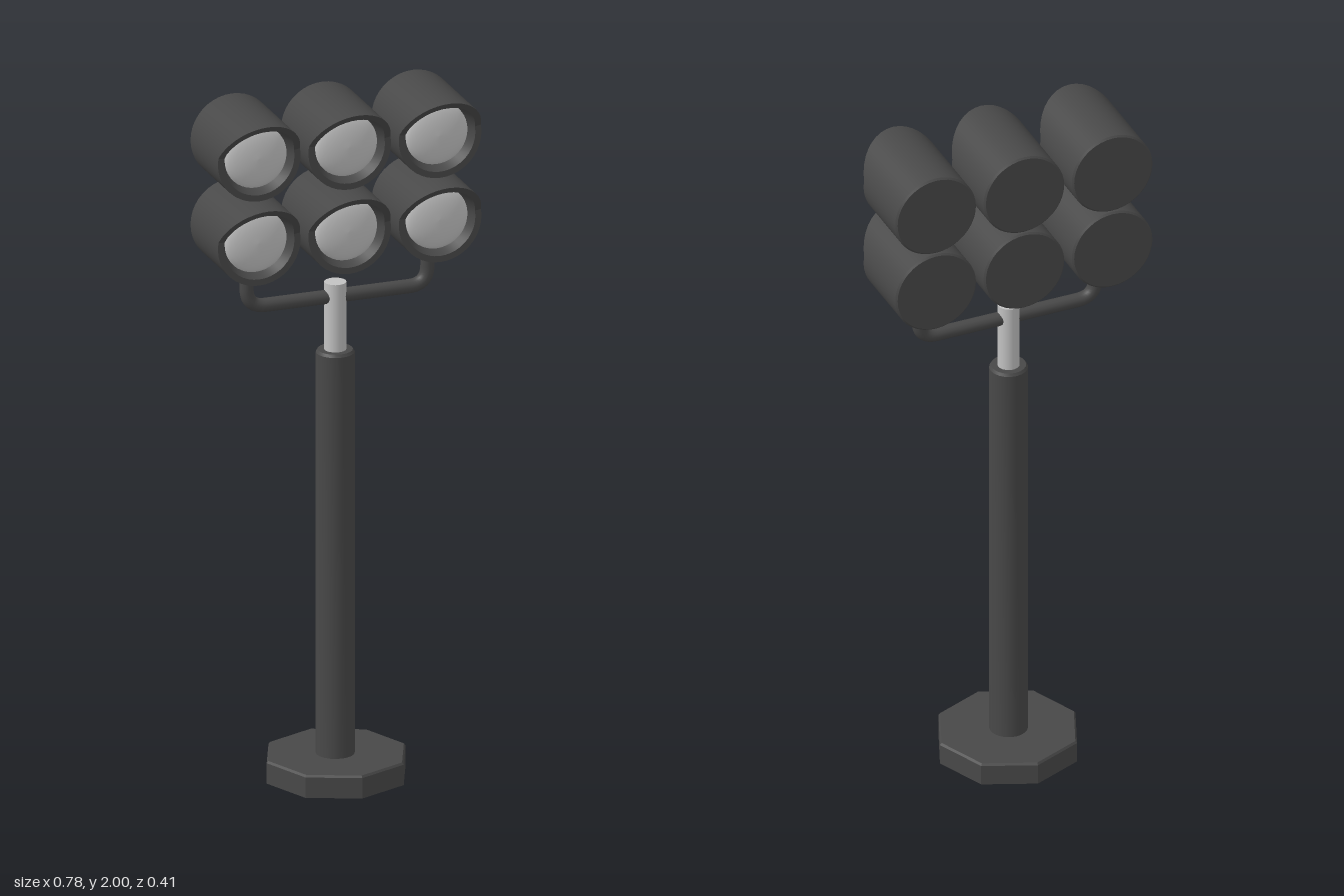
import * as THREE from 'three';
import { toCreasedNormals } from 'three/addons/utils/BufferGeometryUtils.js';

const darkMetal = new THREE.MeshStandardMaterial({ name: 'darkMetal', color: 0x484848 });
const paleSteel = new THREE.MeshStandardMaterial({ name: 'paleSteel', color: 0xc2c2c2 });
const lampGlass = new THREE.MeshStandardMaterial({ name: 'lampGlass', color: 0xc6c6c6 });

const SPACING = 0.267;
const TUBE_R = 0.02;
const MAST_X = -0.005;

function addMesh(parent, name, geometry, material, x = 0, y = 0, z = 0) {
  const mesh = new THREE.Mesh(geometry, material);
  mesh.name = name;
  mesh.position.set(x, y, z);
  parent.add(mesh);
  return mesh;
}

// Turned shape about the y axis, with sharp edges kept
function turned(points, segments) {
  const profile = points.map(([r, y]) => new THREE.Vector2(r, y));
  return new THREE.LatheGeometry(profile, segments);
}

// Lamp housing facing +z; the upper part of the rim is pulled forward as a visor
function housingGeometry() {
  const geo = turned([
    [0, -0.12], [0.117, -0.12], [0.122, -0.115],
    [0.122, 0.1], [0.104, 0.1], [0.091, 0.07],
  ], 40);
  geo.rotateX(Math.PI / 2);
  const p = geo.attributes.position;
  for (let i = 0; i < p.count; i++) {
    if (p.getZ(i) > 0.09) p.setZ(i, 0.1 + Math.max(0, p.getY(i) - 0.02) * 0.74);
  }
  return toCreasedNormals(geo, 0.5);
}

// Shallow domed lens facing +z
function lensGeometry() {
  const points = [];
  for (let i = 0; i <= 6; i++) {
    const a = (i / 6) * Math.PI / 2;
    points.push([0.092 * Math.cos(a), 0.07 + 0.025 * Math.sin(a)]);
  }
  return turned(points, 40).rotateX(Math.PI / 2);
}

// U-shaped fork with rounded corners
function forkGeometry() {
  const v = (x, y) => new THREE.Vector3(x, y, 0);
  const x = SPACING, top = 1.54, low = 1.41, r = 0.055;
  const path = new THREE.CurvePath();
  path.add(new THREE.LineCurve3(v(-x, top), v(-x, low + r)));
  path.add(new THREE.QuadraticBezierCurve3(v(-x, low + r), v(-x, low), v(-x + r, low)));
  path.add(new THREE.LineCurve3(v(-x + r, low), v(x - r, low)));
  path.add(new THREE.QuadraticBezierCurve3(v(x - r, low), v(x, low), v(x, low + r)));
  path.add(new THREE.LineCurve3(v(x, low + r), v(x, top)));
  return new THREE.TubeGeometry(path, 80, TUBE_R, 12, false);
}

export function createModel() {
  const model = new THREE.Group();
  model.name = 'floodlightTower';

  // Eight-sided foot with a slim bevel
  const foot = turned([[0, 0], [0.205, 0], [0.205, 0.06], [0.2, 0.066], [0, 0.066]], 8);
  addMesh(model, 'foot', toCreasedNormals(foot, 0.3), darkMetal, MAST_X / 2);

  // Main pole with a softened top edge, and the pale mast above it
  const pole = turned([[0.054, 0.06], [0.054, 1.246], [0.049, 1.254], [0, 1.254]], 20);
  addMesh(model, 'pole', toCreasedNormals(pole, 0.5), darkMetal, MAST_X);
  addMesh(model, 'mast', new THREE.CylinderGeometry(0.031, 0.031, 0.21, 20), paleSteel, MAST_X, 1.347);

  // Fork carrying the lamps
  addMesh(model, 'fork', forkGeometry(), darkMetal);

  // Two rows of three lamps, each row tied by a crossbar
  const housing = housingGeometry();
  const lens = lensGeometry();
  const bar = new THREE.CylinderGeometry(TUBE_R, TUBE_R, SPACING * 2, 12).rotateZ(Math.PI / 2);
  for (const [row, y] of [['lower', 1.63], ['upper', 1.878]]) {
    addMesh(model, row + 'Crossbar', bar, darkMetal, 0, y - 0.02);
    for (const [side, i] of [['Right', -1], ['Middle', 0], ['Left', 1]]) {
      const lamp = new THREE.Group();
      lamp.name = row + side + 'Lamp';
      lamp.position.set(i * SPACING, y, 0);
      addMesh(lamp, 'housing', housing, darkMetal);
      addMesh(lamp, 'lens', lens, lampGlass);
      model.add(lamp);
    }
  }
  return model;
}
